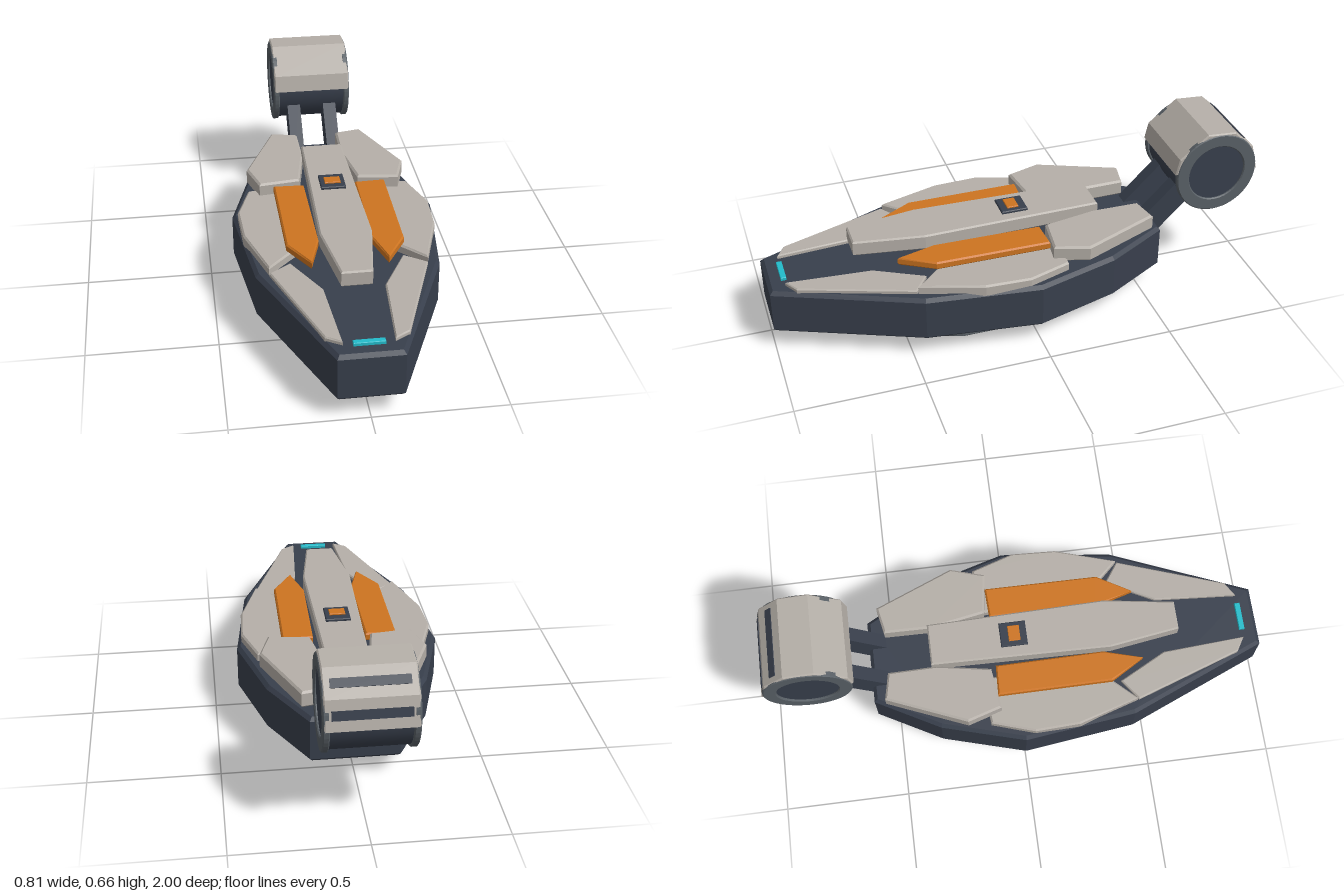
import * as THREE from 'three';

const mat = (name, color) => {
  const m = new THREE.MeshStandardMaterial({ color });
  m.name = name;
  return m;
};

export function createModel() {
  const model = new THREE.Group();
  model.name = 'skiff';
  const navy = mat('dark navy', 0x383f4c);
  const stone = mat('warm grey', 0xb5afa8);
  const orange = mat('orange', 0xcd7420);
  const cyan = mat('cyan', 0x22bccb);
  const steel = mat('steel grey', 0x596066);

  const add = (name, geometry, material, parent = model) => {
    const mesh = new THREE.Mesh(geometry, material);
    mesh.name = name;
    parent.add(mesh);
    return mesh;
  };

  // Extrusion with bevels kept inside the outline and the depth
  const extrude = (shape, depth, bevel, curveSegments = 12) => new THREE.ExtrudeGeometry(shape, {
    depth: depth - 2 * bevel, bevelThickness: bevel, bevelSize: bevel,
    bevelOffset: -bevel, bevelSegments: 1, curveSegments,
  }).translate(0, 0, bevel);

  // Horizontal plate from [x, z] corners between two heights
  const plate = (name, points, y0, y1, bevel, material) => {
    const shape = new THREE.Shape(points.map(([x, z]) => new THREE.Vector2(x, -z)));
    return add(name, extrude(shape, y1 - y0, bevel).rotateX(-Math.PI / 2).translate(0, y0, 0), material);
  };
  const symmetricPlate = (name, half, ...rest) =>
    plate(name, [...half, ...half.map(([x, z]) => [-x, z]).reverse()], ...rest);
  const platePair = (name, points, ...rest) => {
    plate(name + 'Left', points, ...rest);
    plate(name + 'Right', points.map(([x, z]) => [-x, z]), ...rest);
  };

  // Hull and underside
  symmetricPlate('hull', [[0.12, 1], [0.35, 0.45], [0.405, 0], [0.31, -0.33], [0.17, -0.585]], 0.08, 0.27, 0.014, navy);
  symmetricPlate('keel', [[0.075, 0.56], [0.075, -0.31]], 0, 0.085, 0.006, navy);
  platePair('skid', [[0.155, 0.7], [0.17, 0.7], [0.32, 0.3], [0.32, -0.02], [0.2, -0.31], [0.155, -0.31]],
    0.033, 0.073, 0.007, steel);

  // Deck armour
  platePair('bowPlate', [[0.3, 0.47], [0.215, 0.41], [0.115, 0.6], [0.092, 0.935], [0.15, 0.9]], 0.26, 0.286, 0.005, stone);
  platePair('sidePlate', [[0.14, -0.15], [0.33, -0.13], [0.385, 0.04], [0.377, 0.22], [0.3, 0.465], [0.21, 0.37], [0.14, 0.3]],
    0.252, 0.304, 0.007, stone);
  platePair('sternPlate', [[0.085, -0.515], [0.195, -0.537], [0.327, -0.22], [0.285, -0.083], [0.12, -0.105], [0.082, -0.32]],
    0.288, 0.355, 0.008, stone);
  platePair('accentPanel', [[0.105, -0.085], [0.228, -0.09], [0.225, 0.37], [0.145, 0.505], [0.1, 0.35]],
    0.308, 0.341, 0.006, orange);
  symmetricPlate('spine', [[0.085, -0.34], [0.1, 0.38], [0.058, 0.66]], 0.324, 0.387, 0.006, stone);

  // Small deck fittings
  symmetricPlate('hatch', [[0.05, 0.052], [0.05, -0.055]], 0.385, 0.398, 0.003, navy);
  symmetricPlate('hatchLight', [[0.032, 0.025], [0.032, -0.022]], 0.397, 0.405, 0.002, orange);
  symmetricPlate('bowLight', [[0.057, 0.946], [0.057, 0.924]], 0.266, 0.283, 0.002, cyan);

  // Struts carrying the engine
  for (const side of [1, -1]) {
    const strut = add(side > 0 ? 'strutLeft' : 'strutRight', new THREE.BoxGeometry(0.056, 0.1, 0.32), navy);
    strut.position.set(side * 0.079, 0.297, -0.612);
    strut.rotation.x = Math.PI / 4;
  }

  // Engine drum, its axis along x
  const engine = new THREE.Group();
  engine.name = 'engine';
  engine.position.set(0, 0.482, -0.82);
  model.add(engine);
  const drum = (r, length) => new THREE.CylinderGeometry(r, r, length, 40).rotateZ(Math.PI / 2);
  add('drum', drum(0.163, 0.296), navy, engine);
  add('hub', drum(0.126, 0.316), navy, engine);
  for (const side of [1, -1]) {
    const ring = new THREE.Shape().absarc(0, 0, 0.173, 0, Math.PI * 2);
    ring.holes.push(new THREE.Path().absarc(0, 0, 0.12, 0, Math.PI * 2, true));
    const geometry = extrude(ring, 0.024, 0.004, 24).rotateY(side * Math.PI / 2).translate(side * 0.142, 0, 0);
    add(side > 0 ? 'endRingLeft' : 'endRingRight', geometry, steel, engine);
  }

  // Faceted cowl over the top of the drum
  const angles = [6, 28, 75, 112, 148, 184].map(THREE.MathUtils.degToRad);
  const radius = 0.187;
  const at = (r, a) => new THREE.Vector2(r * Math.cos(a), r * Math.sin(a));
  const cowlShape = new THREE.Shape([
    ...angles.map((a, i) => at(i === 0 || i > 3 ? 0.181 : radius, a)),
    ...angles.map((a) => at(0.155, a)).reverse(),
  ]);
  add('cowl', extrude(cowlShape, 0.326, 0.005).rotateY(-Math.PI / 2).translate(0.163, 0, 0), stone, engine);

  // Vent stripes on the two rear cowl facets
  for (const [i, width] of [[3, 0.275], [4, 0.275]]) {
    const a = at(i === 3 ? radius : 0.181, angles[i]);
    const b = at(0.181, angles[i + 1]);
    const mid = a.clone().add(b).multiplyScalar(0.5);
    const stripe = add('ventStripe', new THREE.BoxGeometry(width, 0.006, 0.034), navy, engine);
    stripe.position.set(0, mid.y, mid.x);
    stripe.rotation.x = Math.atan2(a.y - b.y, b.x - a.x) ;
  }
  return model;
}
